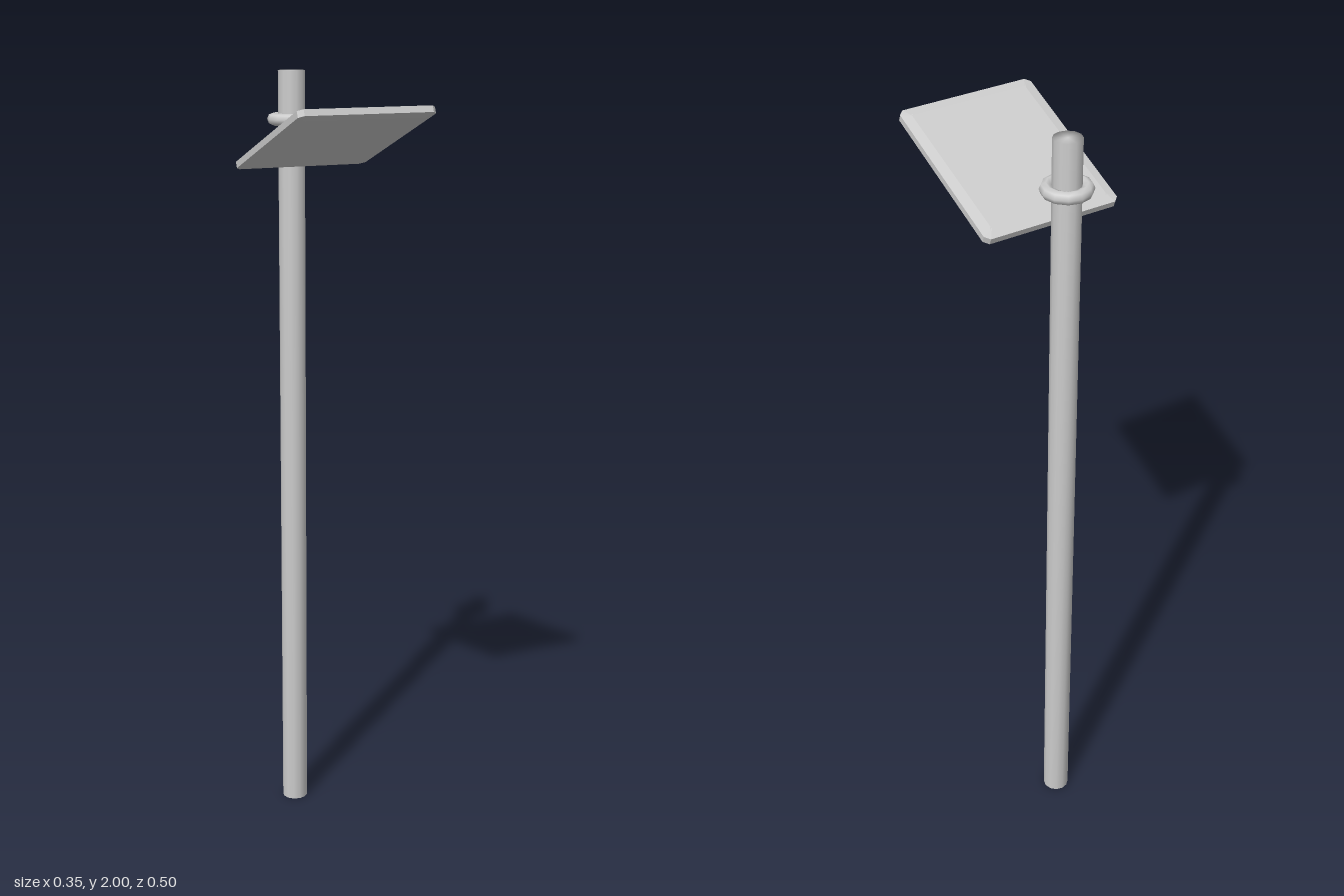
import * as THREE from 'three';
import { mergeVertices } from 'three/addons/utils/BufferGeometryUtils.js';

const POLE_Z = -0.192;

// Share normals across the cap rim for a softly rounded end
function softened(geometry) {
  geometry.deleteAttribute('normal');
  geometry.deleteAttribute('uv');
  const merged = mergeVertices(geometry, 1e-4);
  merged.computeVertexNormals();
  return merged;
}

// Rectangle with small cut corners
function cutRectangle(w, h, c) {
  const x = w / 2, y = h / 2;
  return new THREE.Shape([
    [x - c, -y], [x, -y + c], [x, y - c], [x - c, y],
    [-x + c, y], [-x, y - c], [-x, -y + c], [-x + c, -y],
  ].map(([a, b]) => new THREE.Vector2(a, b)));
}

export function createModel() {
  const group = new THREE.Group();
  const grey = new THREE.MeshStandardMaterial({ color: 0xcccccc });
  grey.name = 'light grey';

  const add = (name, geometry, x, y, z) => {
    const mesh = new THREE.Mesh(geometry, grey);
    mesh.name = name;
    mesh.position.set(x, y, z);
    group.add(mesh);
    return mesh;
  };

  // Tall pole
  add('pole', softened(new THREE.CylinderGeometry(0.034, 0.034, 2, 12)), 0, 1, POLE_Z);

  // Collar ring near the top of the pole
  const ring = new THREE.TorusGeometry(0.0465, 0.0155, 8, 12);
  ring.rotateX(Math.PI / 2);
  add('collar', ring, 0, 1.88, POLE_Z);

  // Tilted panel with shallow bevelled borders on both faces
  const bevel = 0.026, edge = 0.016, rise = 0.005;
  const plate = new THREE.ExtrudeGeometry(cutRectangle(0.354, 0.416, 0.012), {
    depth: edge, bevelEnabled: true, bevelSegments: 1,
    bevelThickness: rise, bevelSize: bevel, bevelOffset: -bevel,
  });
  plate.translate(0, 0, -edge / 2);
  plate.rotateX(-Math.PI / 2);
  const panel = add('panel', plate, 0, 1.85, 0.052);
  panel.rotation.x = -0.375;

  return group;
}
